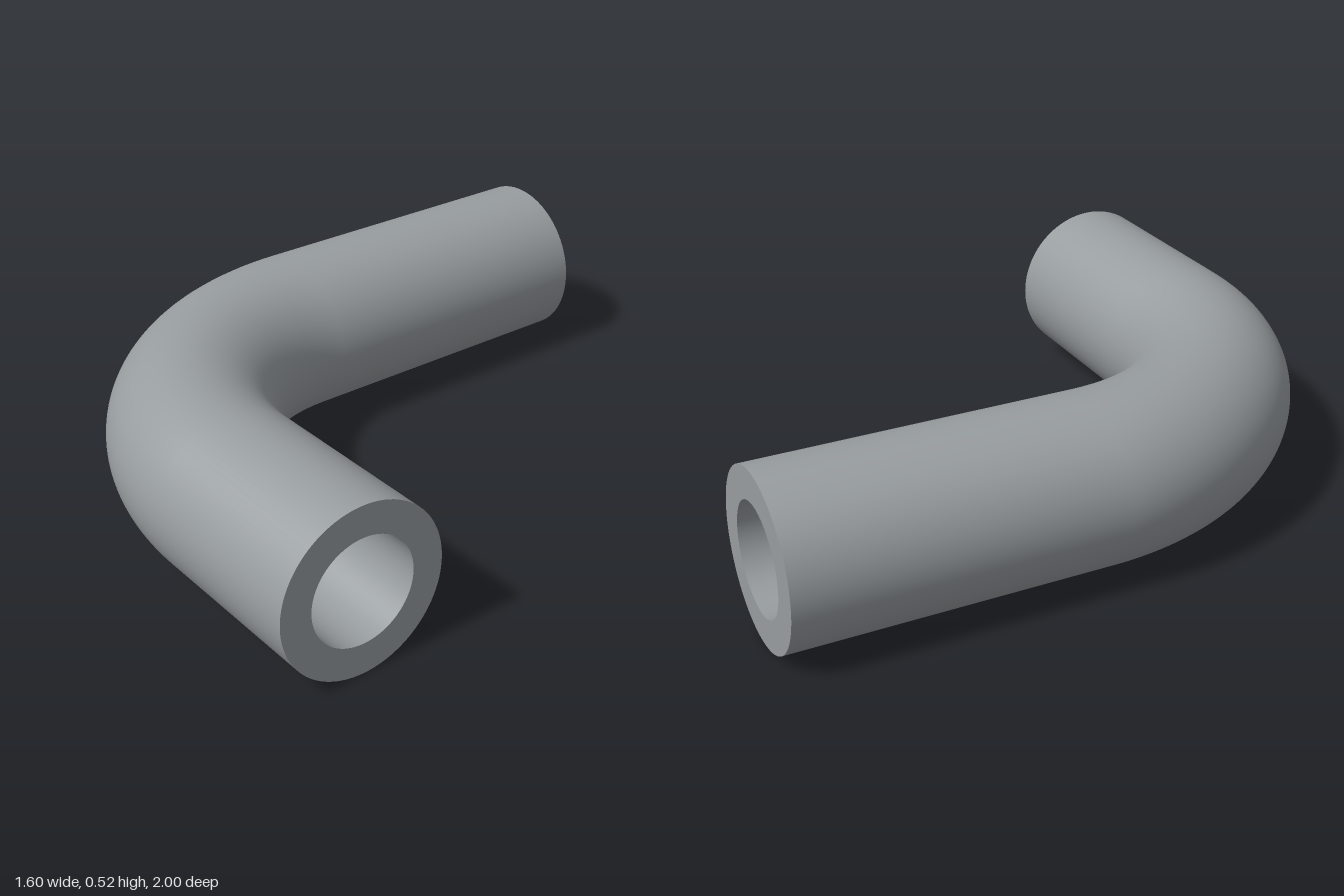
import * as THREE from 'three';

const OUTER = 0.26, INNER = 0.164; // pipe radii
const BEND = 0.74;                 // bend radius at the centre line
const BEND_X = 0.2, BEND_Z = 0;    // bend centre
const END_X = 0.8, END_Z = -1;     // open ends
const SIDES = 96;

export function createModel() {
  const model = new THREE.Group();
  model.name = 'pipeElbow';
  const steel = new THREE.MeshStandardMaterial({ color: 0x989da0, side: THREE.DoubleSide });
  steel.name = 'steelGrey';

  const add = (name, geometry, x, z) => {
    const mesh = new THREE.Mesh(geometry, steel);
    mesh.name = name;
    mesh.position.set(x, OUTER, z);
    model.add(mesh);
  };

  // Outer and inner walls: two straight legs joined by a quarter bend
  for (const [wall, radius] of [['outer', OUTER], ['inner', INNER]]) {
    const backLength = BEND_Z - END_Z;
    const sideLength = END_X - BEND_X;
    add(`${wall}BackLeg`,
      new THREE.CylinderGeometry(radius, radius, backLength, SIDES, 1, true).rotateX(Math.PI / 2),
      BEND_X - BEND, END_Z + backLength / 2);
    add(`${wall}SideLeg`,
      new THREE.CylinderGeometry(radius, radius, sideLength, SIDES, 1, true).rotateZ(Math.PI / 2),
      BEND_X + sideLength / 2, BEND_Z + BEND);
    add(`${wall}Bend`,
      new THREE.TorusGeometry(BEND, radius, SIDES, 64, Math.PI / 2)
        .rotateZ(Math.PI / 2).rotateX(Math.PI / 2),
      BEND_X, BEND_Z);
  }

  // Flat rims closing the wall thickness at both ends
  add('backRim', new THREE.RingGeometry(INNER, OUTER, SIDES).rotateY(Math.PI), BEND_X - BEND, END_Z);
  add('sideRim', new THREE.RingGeometry(INNER, OUTER, SIDES).rotateY(Math.PI / 2), END_X, BEND_Z + BEND);

  return model;
}
